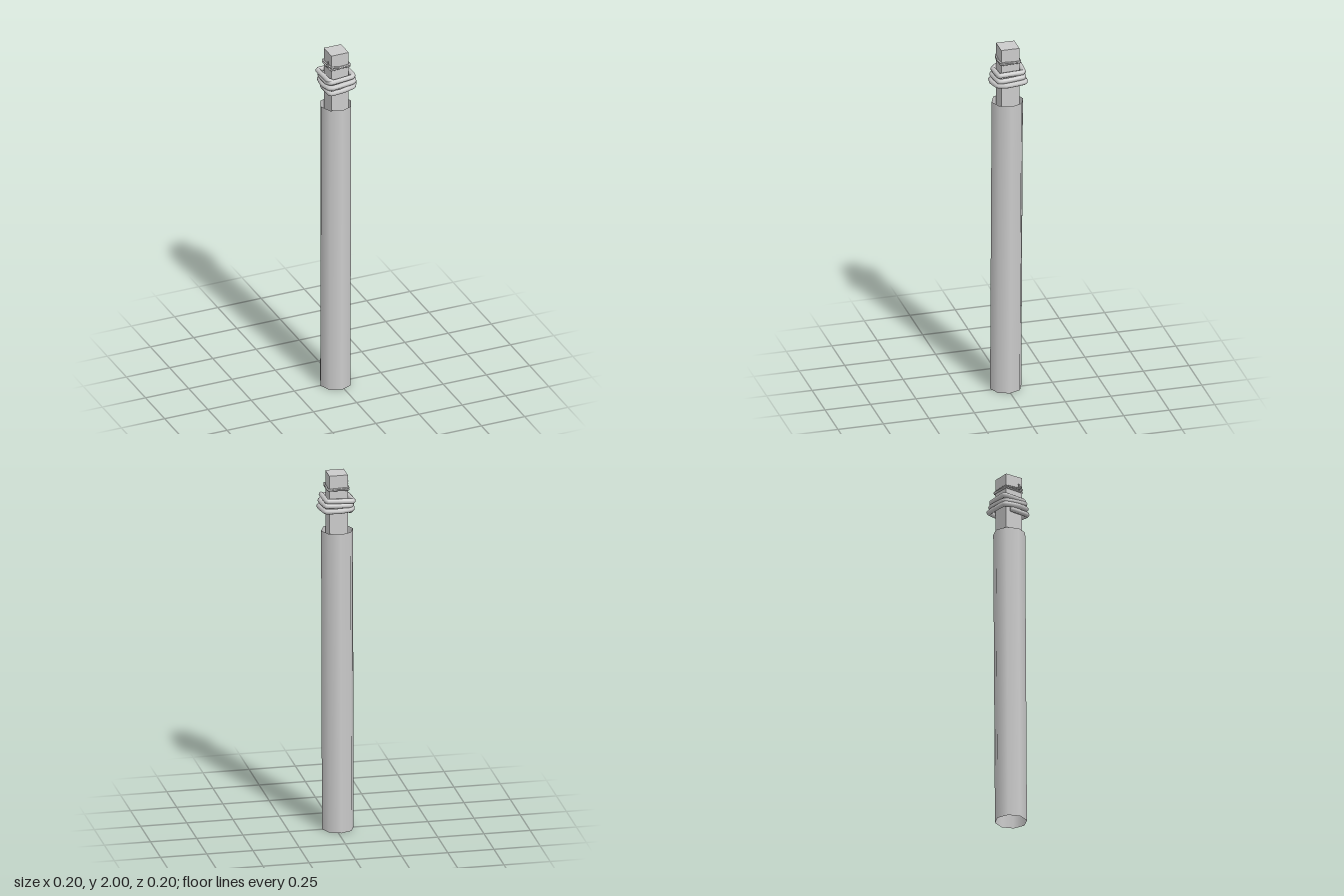
import * as THREE from 'three';

const grey = new THREE.MeshStandardMaterial({ color: 0xcccccc });
const greyDouble = new THREE.MeshStandardMaterial({ color: 0xcccccc, side: THREE.DoubleSide });

function add(parent, name, geometry, material = grey) {
  const mesh = new THREE.Mesh(geometry, material);
  mesh.name = name;
  parent.add(mesh);
  return mesh;
}

// A cord swept through a few points, with rounded ends when it is open.
function addCord(parent, name, points, radius, closed = false) {
  const path = points.map((p) => new THREE.Vector3(...p));
  const curve = new THREE.CatmullRomCurve3(path, closed, 'catmullrom', 0.2);
  add(parent, name, new THREE.TubeGeometry(curve, points.length * 8, radius, 8, closed), greyDouble);
  if (closed) return;
  for (const end of [path[0], path[path.length - 1]]) {
    add(parent, name + 'End', new THREE.SphereGeometry(radius, 8, 6)).position.copy(end);
  }
}

export function createModel() {
  const group = new THREE.Group();

  // Open eight-sided sleeve, leaning very slightly
  const sleeve = new THREE.CylinderGeometry(0.086, 0.086, 1.68, 8, 1, true);
  sleeve.translate(0, 0.84, 0);
  const pos = sleeve.attributes.position;
  for (let i = 0; i < pos.count; i++) {
    const t = pos.getY(i) / 1.68;
    pos.setX(i, pos.getX(i) - 0.014 + 0.006 * t);
    pos.setZ(i, pos.getZ(i) + 0.003 - 0.007 * t);
  }
  add(group, 'sleeve', sleeve, greyDouble);

  // Square post standing out of the sleeve
  add(group, 'post', new THREE.BoxGeometry(0.1, 0.4, 0.1)).position.set(-0.005, 1.8, -0.006);

  // Thick rope wound loosely round the post, from the bottom up
  addCord(group, 'rope', [
    [-0.075, 1.79, -0.03], [-0.07, 1.787, 0.066], [-0.005, 1.80, 0.082], [0.06, 1.803, 0.066],
    [0.083, 1.808, 0.024], [0.07, 1.812, -0.08], [-0.01, 1.81, -0.086], [-0.072, 1.813, -0.075],
    [-0.085, 1.815, 0], [-0.075, 1.817, 0.055], [-0.05, 1.82, 0.068], [0.065, 1.83, 0.062],
    [0.075, 1.835, 0.015], [0.066, 1.84, -0.072], [0, 1.838, -0.078], [-0.07, 1.835, -0.07],
    [-0.076, 1.84, 0.02], [-0.062, 1.848, 0.06], [0.055, 1.858, 0.06], [0.065, 1.863, 0.05],
    [0.062, 1.866, -0.068], [0.05, 1.866, -0.075], [-0.068, 1.862, -0.083], [-0.08, 1.86, -0.072],
    [-0.073, 1.857, 0.04], [-0.055, 1.85, 0.055],
  ], 0.014);

  // Two thin wire loops tied close to the post
  for (const [i, y] of [1.918, 1.928].entries()) {
    const tilt = i ? 0.003 : -0.003;
    addCord(group, 'wireLoop', [
      [-0.059, y + tilt, 0.035], [-0.052, y + tilt, 0.047], [0, y - tilt, 0.05], [0.045, y, 0.047],
      [0.052, y, 0.04], [0.053, y - tilt, -0.05], [0.044, y - tilt, -0.061], [-0.052, y, -0.061],
      [-0.06, y, -0.052],
    ], 0.005, true);
  }

  // Small knot with a loose end
  const knot = new THREE.TorusKnotGeometry(0.006, 0.003, 32, 6);
  add(group, 'wireKnot', knot).position.set(-0.064, 1.93, 0.02);
  addCord(group, 'wireTail', [[-0.064, 1.925, 0.02], [-0.072, 1.935, 0.026], [-0.064, 1.952, 0.018]], 0.004);

  return group;
}
